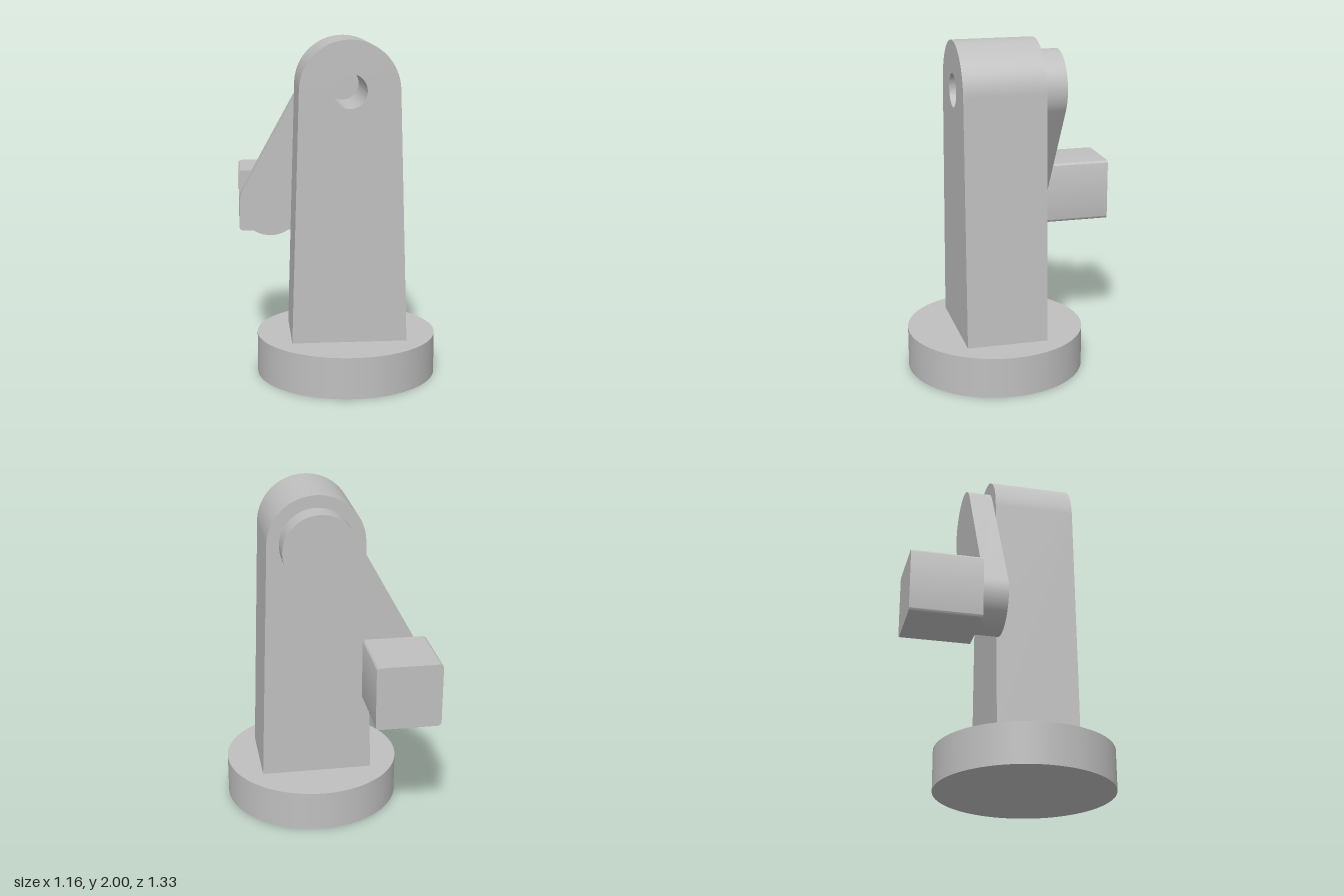
import * as THREE from 'three';
import { toCreasedNormals } from 'three/addons/utils/BufferGeometryUtils.js';

const gray = new THREE.MeshStandardMaterial({ color: 0xbfbfbf });
gray.name = 'plain gray';

const PIVOT = { x: 0.047, y: 1.711 };
const HANDLE = { x: -0.391, y: 0.973 };
const BASE_TOP = 0.243;

// Extrude a shape from zBack to zFront, smooth on curves and sharp at edges
function extrude(name, shape, zBack, zFront) {
  const geometry = new THREE.ExtrudeGeometry(shape, {
    depth: zFront - zBack, bevelEnabled: false, curveSegments: 40,
  });
  geometry.translate(0, 0, zBack);
  const mesh = new THREE.Mesh(toCreasedNormals(geometry, 0.5), gray);
  mesh.name = name;
  return mesh;
}

// Outline around two circles joined by their outer tangents
function linkShape(a, ra, b, rb) {
  const dx = b.x - a.x, dy = b.y - a.y;
  const phi = Math.atan2(dy, dx);
  const t = Math.acos((ra - rb) / Math.hypot(dx, dy));
  const shape = new THREE.Shape();
  shape.absarc(a.x, a.y, ra, phi + t, phi - t + 2 * Math.PI, false);
  shape.absarc(b.x, b.y, rb, phi - t, phi + t, false);
  shape.closePath();
  return shape;
}

// Square with rounded corners
function roundedSquare(c, half, r) {
  const shape = new THREE.Shape();
  const k = half - r;
  [[1, 1], [-1, 1], [-1, -1], [1, -1]].forEach(([sx, sy], i) => {
    shape.absarc(c.x + sx * k, c.y + sy * k, r, i * Math.PI / 2, (i + 1) * Math.PI / 2, false);
  });
  shape.closePath();
  return shape;
}

// Tapered upright with a round head and a pivot hole
function towerShape() {
  const r = 0.289, half = 0.336, tilt = 0.031;
  const shape = new THREE.Shape();
  shape.moveTo(PIVOT.x - half, BASE_TOP);
  shape.lineTo(PIVOT.x + half, BASE_TOP);
  shape.absarc(PIVOT.x, PIVOT.y, r, tilt, Math.PI - tilt, false);
  shape.closePath();
  const hole = new THREE.Path();
  hole.absarc(PIVOT.x, PIVOT.y, 0.099, 0, 2 * Math.PI, true);
  shape.holes.push(hole);
  return shape;
}

export function createModel() {
  const model = new THREE.Group();
  model.name = 'crankStand';

  // Round foot
  const base = new THREE.Mesh(new THREE.CylinderGeometry(0.532, 0.532, BASE_TOP, 96), gray);
  base.name = 'base';
  base.position.set(PIVOT.x, BASE_TOP / 2, 0.133);
  model.add(base);

  // Upright, crank arm on its back, and square handle
  model.add(extrude('tower', towerShape(), -0.108, 0.375));
  model.add(extrude('crankArm', linkShape(PIVOT, 0.216, HANDLE, 0.19), -0.252, -0.108));
  model.add(extrude('handle', roundedSquare(HANDLE, 0.19, 0.022), -0.665, -0.252));

  return model;
}
